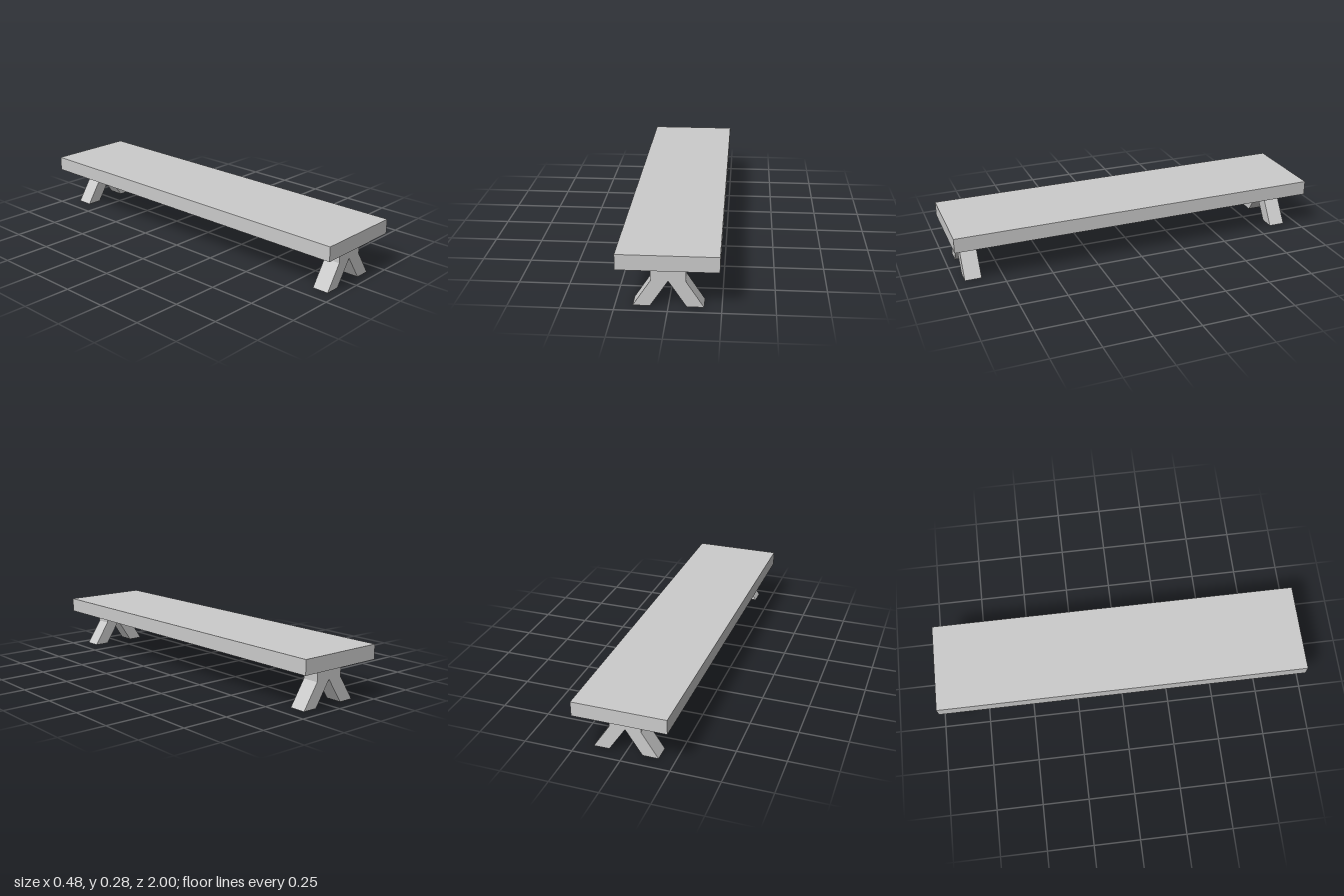
import * as THREE from 'three';

export function createModel() {
  const group = new THREE.Group();
  group.name = 'bench';
  const material = new THREE.MeshStandardMaterial({ color: 0xcccccc, flatShading: true });

  // Long flat seat
  const seat = new THREE.Mesh(new THREE.BoxGeometry(0.48, 0.077, 2), material);
  seat.name = 'seat';
  seat.position.y = 0.2425;
  group.add(seat);

  // Forked trestle outline: a short post splitting into two splayed feet
  const half = [[0.082, 0.204], [0.082, 0.13], [0.167, 0], [0.086, 0]];
  const outline = [
    ...half.map(([x, y]) => new THREE.Vector2(x, y)),
    new THREE.Vector2(0, 0.13),
    ...half.map(([x, y]) => new THREE.Vector2(-x, y)).reverse(),
  ];
  const legGeometry = new THREE.ExtrudeGeometry(new THREE.Shape(outline), {
    depth: 0.088,
    bevelEnabled: false,
  });

  // One trestle near each end
  for (const [name, z] of [['frontLeg', 0.86], ['backLeg', -0.926]]) {
    const leg = new THREE.Mesh(legGeometry, material);
    leg.name = name;
    leg.position.z = z;
    group.add(leg);
  }
  return group;
}
